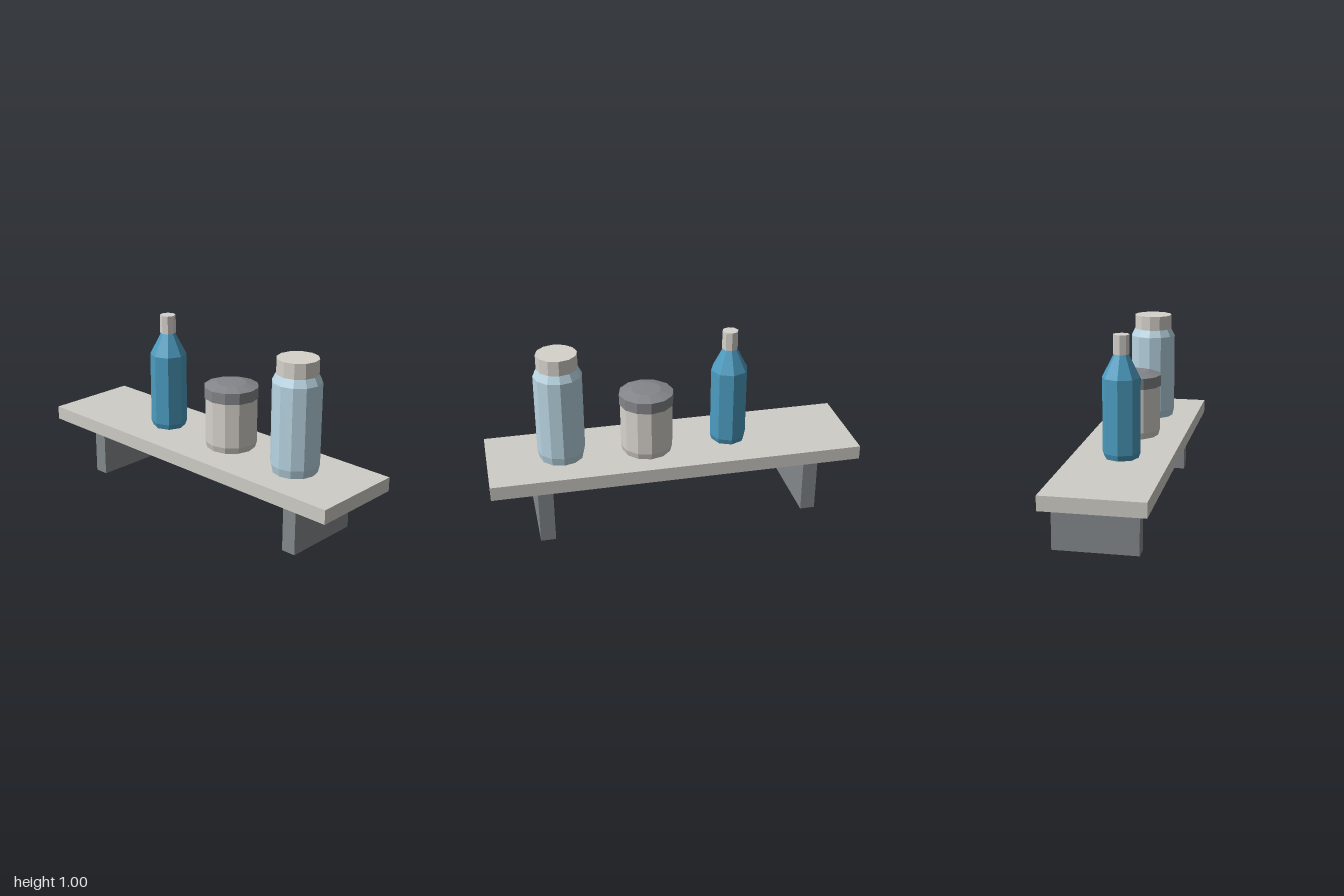
import * as THREE from 'three';

export function createModel() {
  const model = new THREE.Group();
  model.name = 'shelfWithContainers';

  const material = (name, color) => {
    const m = new THREE.MeshStandardMaterial({ color, flatShading: true });
    m.name = name;
    return m;
  };
  const stone = material('pale stone', 0xcfcdc7);
  const bracketGrey = material('bracket grey', 0x84898c);
  const paleBlue = material('pale blue', 0xb9d5e2);
  const cream = material('warm white', 0xd6d2cc);
  const lidGrey = material('lid grey', 0x85868b);
  const blue = material('bottle blue', 0x4c9cc0);

  const box = (name, mat, size, pos) => {
    const mesh = new THREE.Mesh(new THREE.BoxGeometry(...size), mat);
    mesh.name = name;
    mesh.position.set(...pos);
    model.add(mesh);
  };

  // Turned, faceted part from [radius, height] pairs, bottom to top
  const turned = (name, mat, sides, profile) => {
    const points = profile.map(([r, y]) => new THREE.Vector2(r, y));
    const mesh = new THREE.Mesh(new THREE.LatheGeometry(points, sides), mat);
    mesh.name = name;
    return mesh;
  };

  const container = (name, x, z, ...parts) => {
    const group = new THREE.Group();
    group.name = name;
    group.position.set(x, 0.36, z);
    group.add(...parts);
    model.add(group);
  };

  // Shelf board and its two supports, flush with the +x edge
  box('shelfBoard', stone, [0.52, 0.076, 2], [0, 0.322, 0]);
  for (const side of [-1, 1]) {
    box(side > 0 ? 'frontBracket' : 'backBracket', bracketGrey,
      [0.44, 0.284, 0.08], [0.04, 0.142, side * 0.72]);
  }

  // Tall jar
  container('tallJar', 0, 0.6,
    turned('tallJarBody', paleBlue, 12,
      [[0, 0], [0.118, 0], [0.128, 0.045], [0.128, 0.48], [0.108, 0.52], [0, 0.52]]),
    turned('tallJarCap', cream, 12,
      [[0, 0.52], [0.108, 0.52], [0.108, 0.6], [0, 0.6]]));

  // Short jar with a domed lid
  container('shortJar', 0.02, 0.138,
    turned('shortJarBody', cream, 12,
      [[0, 0], [0.132, 0], [0.142, 0.035], [0.142, 0.28], [0, 0.28]]),
    turned('shortJarLid', lidGrey, 12,
      [[0, 0.28], [0.147, 0.28], [0.147, 0.34], [0.08, 0.358], [0, 0.36]]));

  // Slim bottle
  container('bottle', 0, -0.32,
    turned('bottleBody', blue, 8,
      [[0, 0], [0.09, 0], [0.1, 0.03], [0.1, 0.42], [0.038, 0.54], [0, 0.54]]),
    turned('bottleCap', cream, 8,
      [[0, 0.54], [0.043, 0.54], [0.043, 0.64], [0, 0.64]]));

  return model;
}
